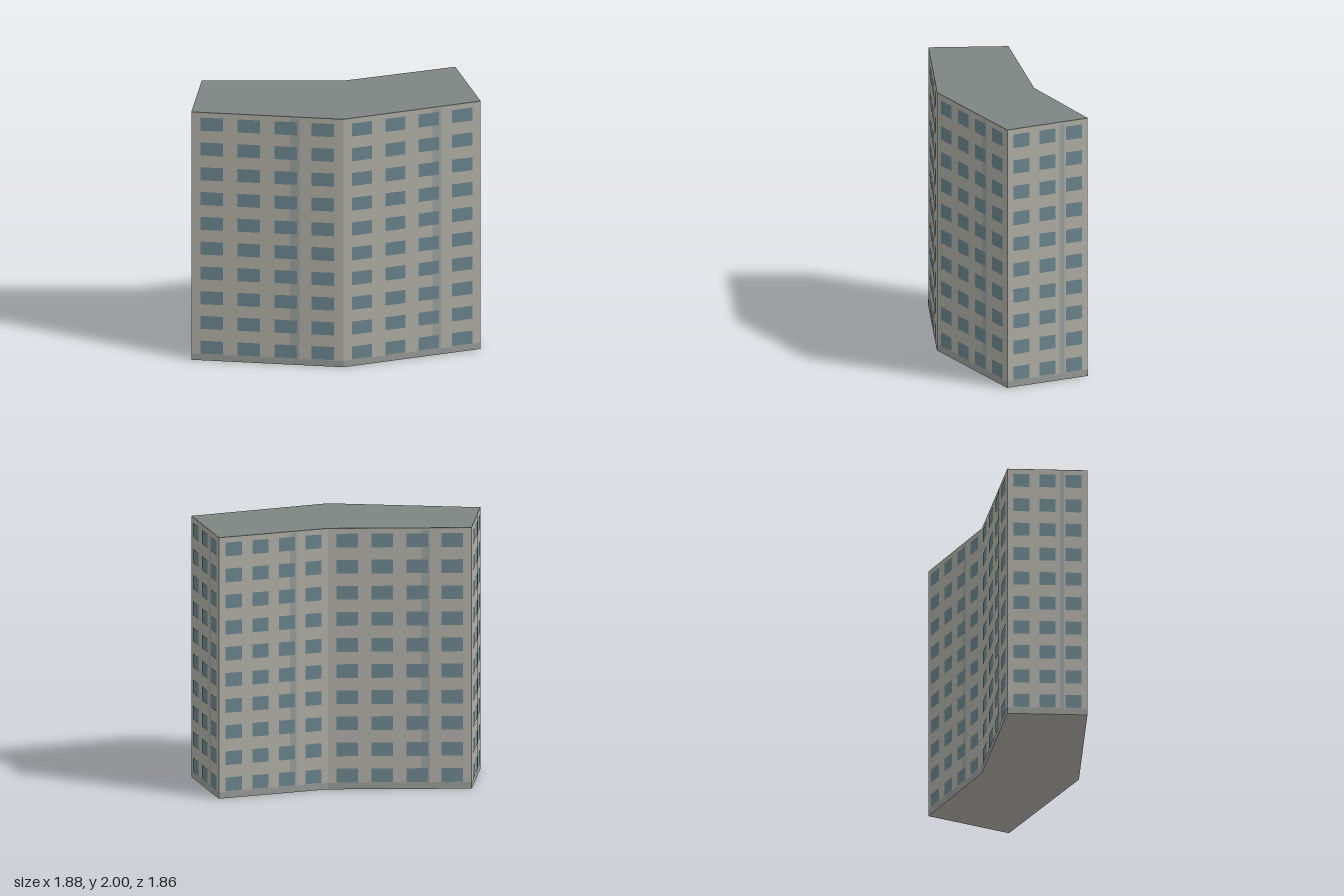
import * as THREE from 'three';
import { mergeGeometries } from 'three/addons/utils/BufferGeometryUtils.js';

const paint = (color) => new THREE.MeshStandardMaterial({ color });

// Footprint corners [x, z] in left-to-right order as seen from outside
const FOOTPRINT = [[-0.94, -0.63], [-0.35, 0.34], [0.55, 0.925], [0.935, 0.38], [0.23, -0.1], [-0.43, -0.935]];
const COLUMNS = [4, 4, 3, 4, 4, 3];
const FLOORS = 10;

// Flat rectangle on a wall, centred at (x, y) and raised by lift
const panel = (w, h, x, y, lift) => new THREE.PlaneGeometry(w, h).translate(x, y, lift);

export function createModel() {
  const model = new THREE.Group();
  model.name = 'apartmentBlock';
  const wallMat = paint(0xb0afa6), roofMat = paint(0x7d8583);
  const glassMat = paint(0x6b868d), stripMat = paint(0x9ba1a0), plinthMat = paint(0x989c98);

  // Prism of the footprint between two heights
  const shape = new THREE.Shape(FOOTPRINT.map(([x, z]) => new THREE.Vector2(x, -z)));
  const prism = (name, y0, y1, mat) => {
    const geo = new THREE.ExtrudeGeometry(shape, { depth: y1 - y0, bevelEnabled: false });
    geo.rotateX(-Math.PI / 2).translate(0, y0, 0);
    const mesh = new THREE.Mesh(geo, mat);
    mesh.name = name;
    model.add(mesh);
  };
  prism('walls', 0, 1.995, wallMat);
  prism('roof', 1.995, 2, roofMat);

  // Windows, vertical strip and plinth on every wall
  FOOTPRINT.forEach(([x, z], i) => {
    const [x2, z2] = FOOTPRINT[(i + 1) % FOOTPRINT.length];
    const dx = x2 - x, dz = z2 - z, length = Math.hypot(dx, dz);
    const facade = new THREE.Group();
    facade.name = 'facade' + (i + 1);
    facade.position.set(x, 0, z);
    facade.rotation.y = Math.atan2(-dz, dx);
    const add = (name, geo, mat) => {
      const mesh = new THREE.Mesh(geo, mat);
      mesh.name = name;
      facade.add(mesh);
    };

    const n = COLUMNS[i], windows = [];
    const pitch = length * 0.975 / n, w = pitch * 0.61;
    for (let floor = 0; floor < FLOORS; floor++) {
      for (let c = 0; c < n; c++) {
        const cx = length / 2 + (c - (n - 1) / 2) * pitch;
        windows.push(panel(w, 0.105, cx, 0.106 + floor * 0.2, 0.004));
      }
    }
    add('windows', mergeGeometries(windows), glassMat);
    add('verticalStrip', panel(length * 0.06, 1.935, length * 0.68, 1.0175, 0.002), stripMat);
    add('plinth', panel(length, 0.05, length / 2, 0.025, 0.002), plinthMat);
    model.add(facade);
  });
  return model;
}
